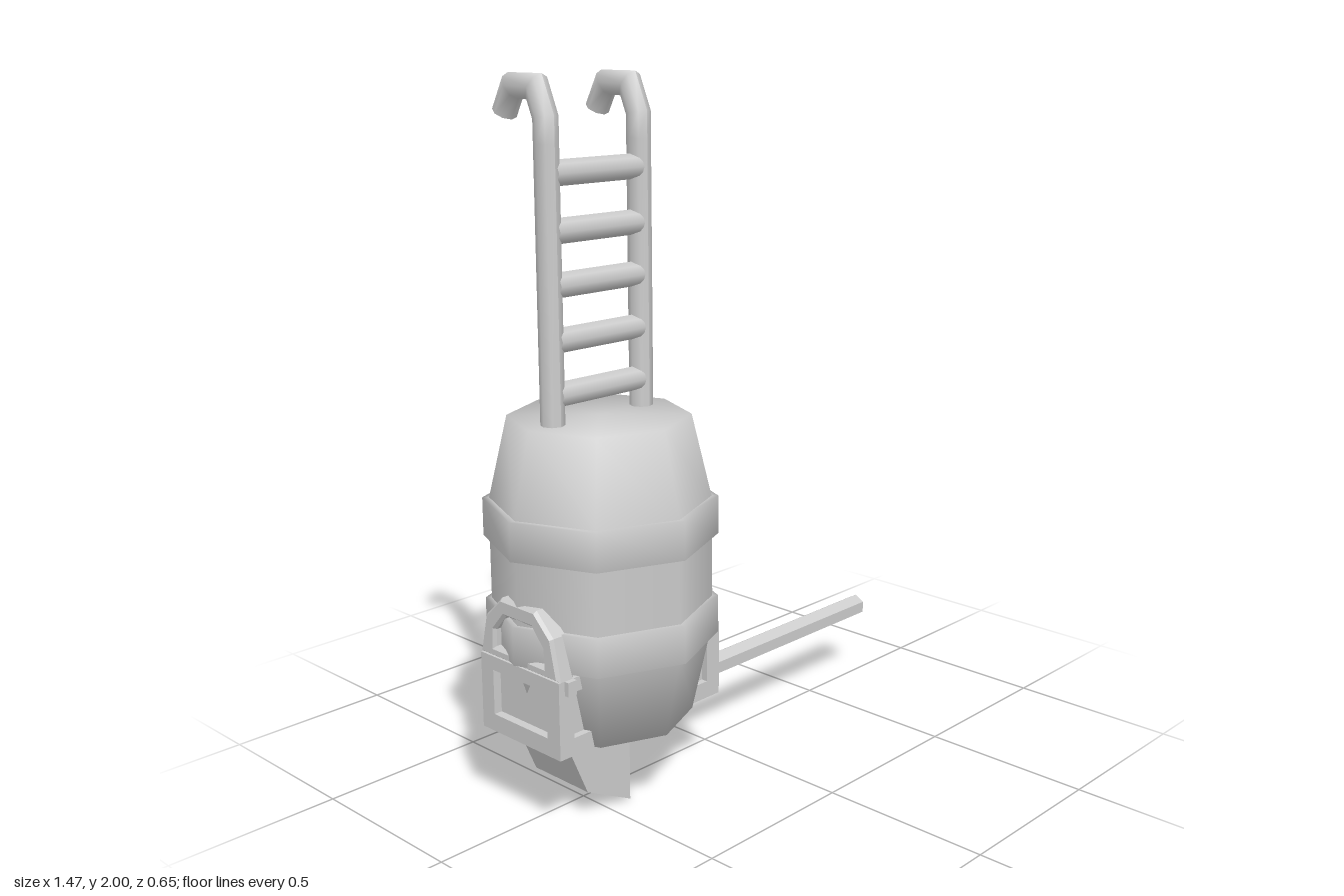
import * as THREE from 'three';

const mat = new THREE.MeshStandardMaterial({ color: 0xcccccc, side: THREE.DoubleSide });
const CX = -0.415; // barrel axis

function add(parent, name, geo, x = 0, y = 0, z = 0) {
  const m = new THREE.Mesh(geo, mat);
  m.name = name;
  m.position.set(x, y, z);
  parent.add(m);
  return m;
}

const box = (w, h, d) => new THREE.BoxGeometry(w, h, d);

// Eight-sided turned part from [radius, height] pairs, bottom to top
const turned = (pts) => new THREE.LatheGeometry(pts.map(([r, y]) => new THREE.Vector2(r, y)), 8);

const polygon = (pts) => new THREE.Shape(pts.map(([x, y]) => new THREE.Vector2(x, y)));

// Pipe following a [z, y] path with mitred bends
function bentPipe(path, r) {
  const n = path.length;
  const pts = path.map(([z, y]) => new THREE.Vector2(z, y));
  const geo = new THREE.CylinderGeometry(r, r, 1, 8, n - 1);
  const pos = geo.attributes.position;
  for (let k = 0; k < pos.count; k++) {
    const i = Math.round((pos.getY(k) + 0.5) * (n - 1));
    const a = pts[Math.min(i + 1, n - 1)].clone().sub(pts[Math.min(i, n - 2)]).normalize();
    const b = pts[Math.max(i, 1)].clone().sub(pts[Math.max(i - 1, 0)]).normalize();
    const d = a.clone().add(b).normalize();
    const s = pos.getZ(k) / d.dot(a);
    pos.setXYZ(k, pos.getX(k), pts[i].y - d.x * s, pts[i].x + d.y * s);
  }
  geo.computeVertexNormals();
  return geo;
}

function makeBarrel() {
  const g = new THREE.Group();
  g.name = 'barrel';
  g.position.x = CX;
  add(g, 'lowerBarrel', turned([[0, 0.24], [0.25, 0.24], [0.303, 0.48]]));
  add(g, 'middleBarrel', turned([[0.306, 0.57], [0.306, 0.77]]));
  add(g, 'upperBarrel', turned([[0.306, 0.86], [0.25, 1.1], [0, 1.1]]));
  for (const y of [0.47, 0.76]) {
    add(g, 'barrelHoop', turned([[0.298, y], [0.323, y], [0.323, y + 0.108], [0.298, y + 0.108]]));
  }
  return g;
}

function makeLadder() {
  const g = new THREE.Group();
  g.name = 'ladder';
  g.position.x = -0.418;
  // Rails ending in hooks that bend to the back
  const path = [[0, 1.06], [0, 1.83], [0, 1.895], [-0.032, 1.97], [-0.122, 1.97], [-0.16, 1.9]];
  for (const s of [-1, 1]) add(g, 'ladderRail', bentPipe(path, 0.033), s * 0.162);
  for (const y of [1.178, 1.322, 1.467, 1.607, 1.755]) {
    add(g, 'ladderRung', new THREE.CylinderGeometry(0.034, 0.034, 0.3, 8).rotateZ(Math.PI / 2), 0, y);
  }
  return g;
}

// Caged case with a carrying handle, hanging on the +x side of the barrel
function makeCase() {
  const g = new THREE.Group();
  g.name = 'sideCase';
  add(g, 'caseCore', box(0.11, 0.16, 0.28), 0.225, 0.355);
  add(g, 'caseBase', box(0.14, 0.05, 0.32), 0.235, 0.265);
  add(g, 'caseLid', box(0.14, 0.04, 0.32), 0.235, 0.44);
  add(g, 'caseLatch', box(0.03, 0.04, 0.015), 0.27, 0.44, -0.167);
  for (const s of [-1, 1]) add(g, 'casePost', box(0.05, 0.14, 0.05), 0.28, 0.355, s * 0.135);
  const handle = polygon([[-0.16, 0.46], [0.16, 0.46], [0.135, 0.575], [0.07, 0.637],
    [-0.07, 0.637], [-0.135, 0.575]]);
  handle.holes.push(polygon([[-0.1, 0.49], [-0.097, 0.54], [-0.055, 0.588],
    [0.055, 0.588], [0.097, 0.54], [0.1, 0.49]]));
  const geo = new THREE.ExtrudeGeometry(handle, {
    depth: 0.04, bevelThickness: 0.01, bevelSize: 0.008, bevelOffset: -0.008, bevelSegments: 1,
  });
  add(g, 'caseHandle', geo.rotateY(Math.PI / 2), 0.257);
  return g;
}

// Long-handled tool with a notched wedge head
function makeTool() {
  const g = new THREE.Group();
  g.name = 'tool';
  const shaft = new THREE.CylinderGeometry(0.035, 0.035, 1.215, 6).rotateZ(Math.PI / 2)
    .rotateX(Math.PI / 2).toNonIndexed();
  // Turn the hexagon so that one corner points up
  shaft.computeBoundingBox();
  const b = shaft.boundingBox;
  if (b.max.y < b.max.z) shaft.rotateX(Math.PI / 2);
  shaft.computeVertexNormals();
  add(g, 'toolShaft', shaft, 0.1275, 0.235);
  const upper = [[-0.42, 0.26], [-0.66, 0.26], [-0.65, 0.24], [-0.58, 0.08]];
  const slab = (pts, depth) => new THREE.ExtrudeGeometry(polygon(pts), { depth, bevelEnabled: false });
  for (const z of [-0.108, 0.036]) add(g, 'toolProng', slab([...upper, [-0.42, 0]], 0.072), 0, 0, z);
  add(g, 'toolHead', slab([...upper, [-0.53, 0.055], [-0.42, 0.055]], 0.072), 0, 0, -0.036);
  return g;
}

export function createModel() {
  const model = new THREE.Group();
  model.name = 'barrelWithLadder';
  model.add(makeBarrel(), makeLadder(), makeTool());
  for (const angle of [0, Math.PI]) {
    const c = makeCase();
    c.position.x = CX;
    c.rotation.y = angle;
    model.add(c);
  }
  return model;
}
